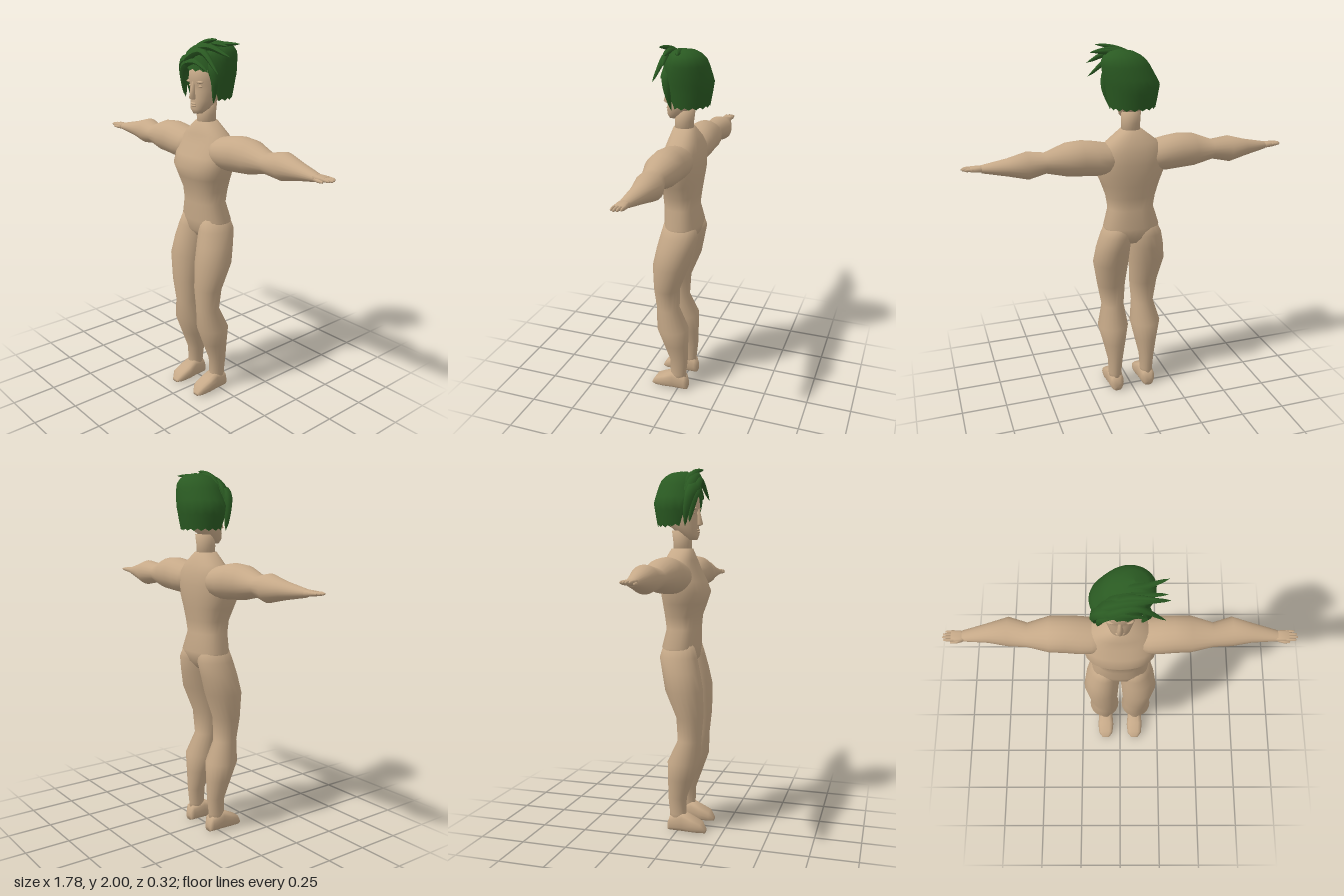
import * as THREE from 'three';

const skin = new THREE.MeshStandardMaterial({ color: 0xc6a988 });
skin.name = 'skin';
const hairGreen = new THREE.MeshStandardMaterial({ color: 0x2a5a22, side: THREE.DoubleSide });
hairGreen.name = 'hairGreen';

// Closed loft of rounded rings. Each section is [position, aMin, aMax, bMin, bMax];
// axis y uses a=x b=z, axis x uses a=z b=y, axis z uses a=y b=x.
function loft(axis, sections, n = 20, power = 1) {
  const pos = [], index = [];
  const push = (a, w, b) =>
    pos.push(...(axis === 'y' ? [a, w, b] : axis === 'x' ? [w, b, a] : [b, a, w]));
  const round = (v) => Math.sign(v) * Math.abs(v) ** power;
  for (const [w, a0, a1, b0, b1] of sections) {
    for (let j = 0; j < n; j++) {
      const t = (j / n) * Math.PI * 2;
      push((a0 + a1) / 2 + (a1 - a0) / 2 * round(Math.cos(t)), w,
        (b0 + b1) / 2 + (b1 - b0) / 2 * round(Math.sin(t)));
    }
  }
  const last = sections.length - 1;
  for (let i = 0; i < last; i++) {
    for (let j = 0; j < n; j++) {
      const k = (j + 1) % n, a = i * n + j, b = i * n + k;
      index.push(a, a + n, b, b, a + n, b + n);
    }
  }
  for (const i of [0, last]) {
    const [w, a0, a1, b0, b1] = sections[i], c = pos.length / 3;
    push((a0 + a1) / 2, w, (b0 + b1) / 2);
    for (let j = 0; j < n; j++) {
      const a = i * n + j, b = i * n + (j + 1) % n;
      index.push(...(i === 0 ? [c, a, b] : [c, b, a]));
    }
  }
  return finish(pos, index);
}

function finish(pos, index) {
  const g = new THREE.BufferGeometry();
  g.setAttribute('position', new THREE.Float32BufferAttribute(pos, 3));
  g.setIndex(index);
  g.computeVertexNormals();
  return g;
}

// Mirror across x with the winding restored
function mirror(geo) {
  const g = geo.clone();
  const p = g.attributes.position, idx = g.index.array;
  for (let i = 0; i < p.count; i++) p.setX(i, -p.getX(i));
  for (let i = 0; i < idx.length; i += 3) [idx[i], idx[i + 1]] = [idx[i + 1], idx[i]];
  g.computeVertexNormals();
  return g;
}

// Tapered lock of hair along a curve
function lock(points, radius) {
  const curve = new THREE.CatmullRomCurve3(points.map((p) => new THREE.Vector3(...p)));
  const seg = 12, sides = 6;
  const g = new THREE.TubeGeometry(curve, seg, radius, sides);
  const p = g.attributes.position, v = new THREE.Vector3();
  for (let i = 0; i < p.count; i++) {
    const t = Math.floor(i / (sides + 1)) / seg;
    const c = curve.getPointAt(t);
    v.fromBufferAttribute(p, i).sub(c).multiplyScalar(Math.min(1, 0.35 + t * 3) * (1 - t) ** 0.6).add(c);
    p.setXYZ(i, v.x, v.y, v.z);
  }
  g.computeVertexNormals();
  return g;
}

// Hair cap: rings from the crown to an edge that is high at the face, low elsewhere
function hairCap() {
  const n = 36, rows = 10, pos = [], index = [];
  const profile = [[1.66, 0.8], [1.72, 0.89], [1.81, 1], [1.92, 0.83], [1.965, 0.55], [1.98, 0]];
  const width = (y) => {
    for (let i = 0; i < profile.length - 1; i++) {
      const [y0, f0] = profile[i], [y1, f1] = profile[i + 1];
      if (y <= y1) return f0 + (f1 - f0) * (y - y0) / (y1 - y0);
    }
    return 0;
  };
  for (let i = 0; i <= rows; i++) {
    for (let j = 0; j < n; j++) {
      const t = (j / n) * Math.PI * 2, s = Math.sin(t);
      const edge = 1.68 + 0.15 * THREE.MathUtils.smoothstep(s, 0.35, 0.72) + (j % 2) * 0.012;
      const y = 1.98 - (1.98 - edge) * (i / rows) ** 1.4;
      const f = width(y), lean = Math.max(0, (y - 1.8) / 0.17) * 0.06;
      pos.push(lean + 0.145 * f * Math.cos(t), y, -0.025 + 0.133 * f * s);
    }
  }
  for (let i = 0; i < rows; i++) {
    for (let j = 0; j < n; j++) {
      const k = (j + 1) % n, a = i * n + j, b = i * n + k;
      index.push(a, b, a + n, b, b + n, a + n);
    }
  }
  return finish(pos, index);
}

export function createModel() {
  const model = new THREE.Group();
  model.name = 'figure';
  const add = (name, geo, mat = skin) => {
    const m = new THREE.Mesh(geo, mat);
    m.name = name;
    model.add(m);
    return m;
  };
  const pair = (name, geo) => {
    add('left' + name, geo);
    add('right' + name, mirror(geo));
  };
  const ball = (name, x, y, z, sx, sy, sz) => {
    const m = add(name, new THREE.SphereGeometry(1, 12, 8));
    m.position.set(x, y, z);
    m.scale.set(sx, sy, sz);
  };

  // Torso and neck
  add('torso', loft('y', [
    [0.93, -0.07, 0.07, -0.05, 0.06], [0.97, -0.14, 0.14, -0.085, 0.09],
    [1.03, -0.155, 0.155, -0.105, 0.098], [1.13, -0.126, 0.126, -0.082, 0.1],
    [1.2, -0.137, 0.137, -0.09, 0.105], [1.27, -0.16, 0.16, -0.1, 0.13],
    [1.33, -0.185, 0.185, -0.108, 0.148], [1.39, -0.185, 0.185, -0.11, 0.125],
    [1.45, -0.175, 0.175, -0.108, 0.092], [1.5, -0.14, 0.14, -0.09, 0.075],
    [1.565, -0.056, 0.056, -0.06, 0.055],
  ], 28, 0.85));
  add('neck', loft('y', [
    [1.53, -0.05, 0.05, -0.052, 0.05], [1.6, -0.05, 0.05, -0.052, 0.05],
    [1.66, -0.052, 0.052, -0.06, 0.045],
  ]));

  // Arms
  pair('Arm', loft('x', [
    [0.06, -0.075, 0.07, 1.36, 1.48], [0.14, -0.098, 0.09, 1.33, 1.5],
    [0.2, -0.102, 0.092, 1.328, 1.512], [0.27, -0.1, 0.088, 1.333, 1.522],
    [0.355, -0.1, 0.085, 1.34, 1.515], [0.465, -0.07, 0.056, 1.365, 1.473],
    [0.56, -0.1, 0.05, 1.347, 1.49], [0.66, -0.07, 0.032, 1.37, 1.462],
    [0.79, -0.032, 0.026, 1.394, 1.434],
  ], 20));

  // Hands with fingers and thumb
  pair('Palm', loft('x', [
    [0.775, -0.025, 0.025, 1.4, 1.43], [0.8, -0.03, 0.028, 1.4, 1.432],
    [0.845, -0.032, 0.028, 1.405, 1.43],
  ], 14, 0.7));
  for (let i = 0; i < 4; i++) {
    const z = -0.024 + i * 0.015, tip = [0.875, 0.886, 0.89, 0.882][i];
    pair('Finger', loft('x', [
      [0.83, z - 0.0075, z + 0.0075, 1.409, 1.428], [tip - 0.012, z - 0.007, z + 0.007, 1.411, 1.427],
      [tip, z - 0.004, z + 0.004, 1.414, 1.423],
    ], 8));
  }
  pair('Thumb', loft('x', [
    [0.79, 0.008, 0.028, 1.4, 1.42], [0.82, 0.022, 0.037, 1.402, 1.42],
    [0.85, 0.026, 0.036, 1.405, 1.417],
  ], 8));

  // Legs
  pair('Leg', loft('y', [
    [0.05, 0.058, 0.135, -0.045, 0.05], [0.1, 0.06, 0.134, -0.045, 0.048],
    [0.19, 0.053, 0.14, -0.054, 0.05], [0.3, 0.03, 0.163, -0.055, 0.09],
    [0.4, 0.01, 0.186, -0.055, 0.125], [0.52, 0.026, 0.155, 0, 0.13],
    [0.65, 0.016, 0.178, -0.005, 0.142], [0.8, 0.006, 0.206, -0.064, 0.142],
    [0.9, 0.001, 0.192, -0.085, 0.122], [0.98, -0.002, 0.172, -0.103, 0.103],
    [1.05, 0.01, 0.14, -0.085, 0.085],
  ], 20));
  pair('Foot', loft('z', [
    [-0.055, 0, 0.05, 0.07, 0.122], [-0.04, 0, 0.09, 0.056, 0.136],
    [0.03, 0, 0.11, 0.05, 0.142], [0.08, 0, 0.085, 0.045, 0.146],
    [0.135, 0, 0.058, 0.052, 0.14], [0.16, 0, 0.018, 0.075, 0.118],
  ], 16, 0.7));

  // Head and face
  add('head', loft('y', [
    [1.61, -0.024, 0.024, 0.03, 0.08], [1.635, -0.05, 0.05, -0.01, 0.09],
    [1.68, -0.068, 0.068, -0.065, 0.087], [1.73, -0.08, 0.08, -0.09, 0.086],
    [1.755, -0.083, 0.083, -0.1, 0.083], [1.78, -0.086, 0.086, -0.105, 0.093],
    [1.83, -0.085, 0.085, -0.11, 0.088], [1.89, -0.066, 0.066, -0.095, 0.055],
    [1.92, -0.03, 0.03, -0.05, 0.02],
  ], 24, 0.9));
  add('nose', loft('y', [
    [1.684, -0.013, 0.013, 0.065, 0.095], [1.692, -0.017, 0.017, 0.065, 0.114],
    [1.73, -0.011, 0.011, 0.065, 0.104], [1.775, -0.009, 0.009, 0.065, 0.094],
  ], 10));
  ball('upperLip', 0, 1.663, 0.087, 0.023, 0.006, 0.008);
  ball('lowerLip', 0, 1.651, 0.087, 0.02, 0.006, 0.008);
  for (const s of [-1, 1]) {
    ball('eye', s * 0.037, 1.752, 0.07, 0.016, 0.007, 0.009);
    ball('brow', s * 0.038, 1.775, 0.075, 0.026, 0.008, 0.015);
  }

  // Hair cap, hanging locks and swept spikes
  add('hairCap', hairCap(), hairGreen);
  const locks = [
    [0.04, [0, 1.9, 0.075], [-0.09, 1.86, 0.07], [-0.118, 1.78, 0.055], [-0.115, 1.68, 0.045]],
    [0.03, [-0.02, 1.89, 0.085], [-0.08, 1.83, 0.085], [-0.105, 1.7, 0.065]],
    [0.03, [0.1, 1.89, 0.06], [0.125, 1.79, 0.05], [0.1, 1.67, 0.035]],
    [0.03, [-0.1, 1.82, 0.06], [-0.04, 1.89, 0.085], [0.06, 1.93, 0.08], [0.205, 1.83, 0.095]],
    [0.035, [-0.11, 1.82, 0.05], [-0.04, 1.91, 0.06], [0.08, 1.955, 0.06], [0.225, 1.91, 0.035]],
    [0.03, [-0.09, 1.86, 0.04], [0, 1.94, 0.04], [0.1, 1.97, 0.04], [0.21, 1.96, 0.03]],
    [0.03, [-0.06, 1.89, 0], [0.04, 1.955, 0], [0.12, 1.965, -0.01], [0.215, 1.97, -0.04]],
    [0.024, [-0.04, 1.92, 0.05], [0.04, 1.965, 0.05], [0.1, 1.985, 0.06], [0.17, 1.995, 0.07]],
    [0.03, [-0.11, 1.8, 0.05], [-0.06, 1.86, 0.085], [0.02, 1.875, 0.085], [0.12, 1.83, 0.085]],
  ];
  for (const [radius, ...points] of locks) add('hairLock', lock(points, radius), hairGreen);

  return model;
}
